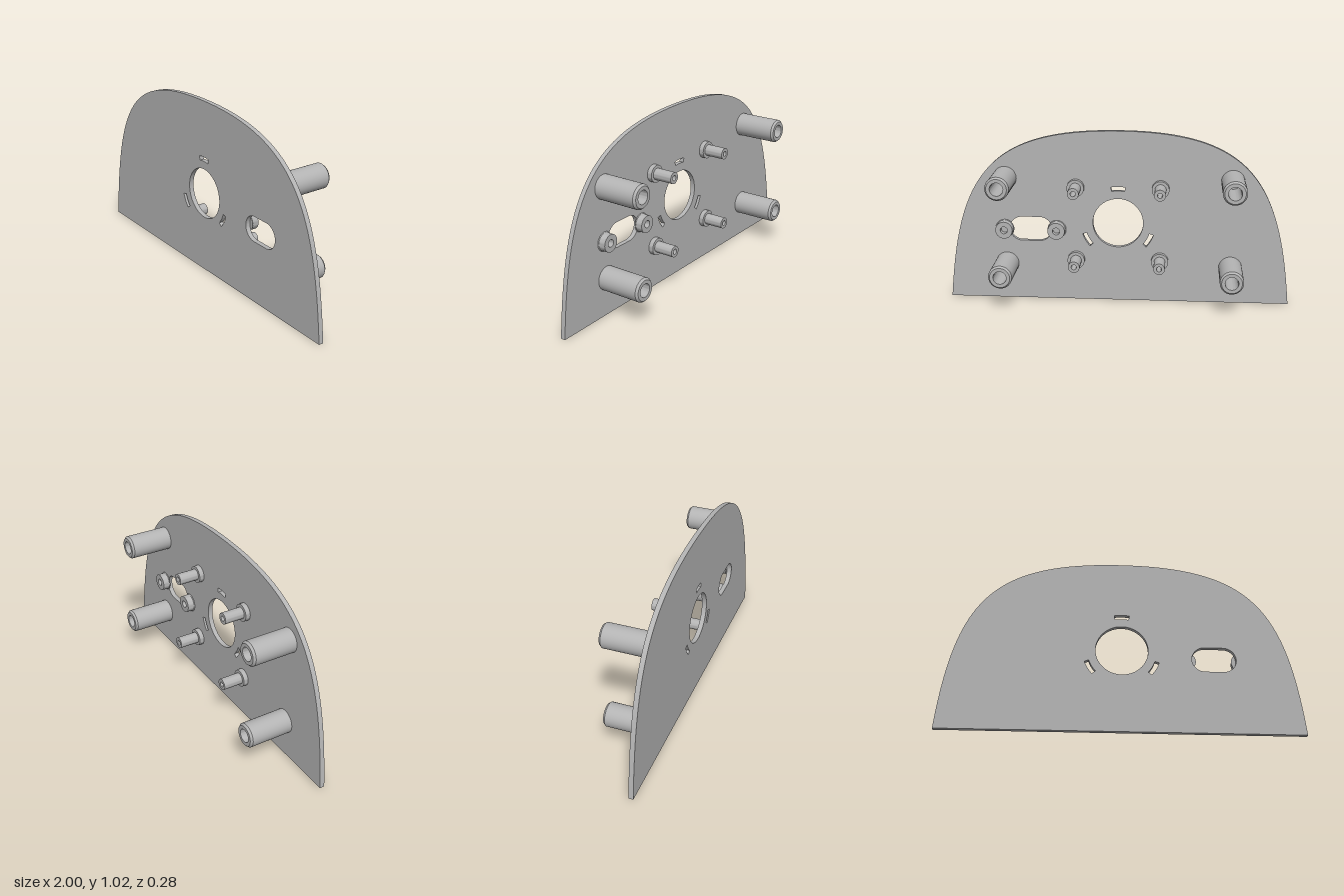
import * as THREE from 'three';
import { toCreasedNormals } from 'three/addons/utils/BufferGeometryUtils.js';

const BACK = 0.115, FRONT = 0.142;

// Domed plate outline with its bore, three arc slots and one oblong slot
function plateGeometry() {
  const s = new THREE.Shape();
  s.moveTo(-1, 0);
  s.lineTo(1, 0);
  s.bezierCurveTo(0.93, 0.75, 0.75, 1.02, 0, 1.02);
  s.bezierCurveTo(-0.75, 1.02, -0.93, 0.75, -1, 0);

  const cy = 0.477;
  const bore = new THREE.Path();
  bore.absarc(0, cy, 0.146, 0, Math.PI * 2, true);
  s.holes.push(bore);

  for (let i = 0; i < 3; i++) {
    const a = Math.PI / 2 + (i * Math.PI * 2) / 3, h = 0.195;
    const slot = new THREE.Path();
    slot.absarc(0, cy, 0.218, a - h, a + h, false);
    slot.absarc(0, cy, 0.193, a + h, a - h, true);
    slot.closePath();
    s.holes.push(slot);
  }

  const oblong = new THREE.Path(), r = 0.0725, y = 0.432;
  oblong.absarc(0.562, y, r, -Math.PI / 2, Math.PI / 2, false);
  oblong.absarc(0.46, y, r, Math.PI / 2, Math.PI * 1.5, false);
  oblong.closePath();
  s.holes.push(oblong);

  const g = new THREE.ExtrudeGeometry(s, { depth: FRONT - BACK, bevelEnabled: false, curveSegments: 40 });
  g.translate(0, 0, BACK);
  return toCreasedNormals(g, 0.5);
}

// Turned part: profile of [radius, distance behind the plate], pointing to -z
function turned(profile) {
  const g = new THREE.LatheGeometry(profile.map(([r, d]) => new THREE.Vector2(r, d)), 40);
  g.rotateX(-Math.PI / 2);
  return toCreasedNormals(g, 0.5);
}

export function createModel() {
  const model = new THREE.Group();
  model.name = 'mountingPlate';
  const grey = new THREE.MeshStandardMaterial({ color: 0xb4b4b4 });
  grey.name = 'grey';

  const add = (name, geometry, x = 0, y = 0, z = 0) => {
    const m = new THREE.Mesh(geometry, grey);
    m.name = name;
    m.position.set(x, y, z);
    model.add(m);
  };

  add('plate', plateGeometry());

  // Chamfered hollow posts, stepped standoffs, and low flared bosses
  const post = turned([[0, 0], [0.068, 0], [0.068, 0.245], [0.058, 0.257], [0.038, 0.257], [0.038, 0.02], [0, 0.02]]);
  const standoff = turned([[0, 0], [0.05, 0], [0.05, 0.028], [0.033, 0.028], [0.033, 0.145],
    [0.015, 0.145], [0.015, 0.02], [0, 0.02]]);
  const boss = turned([[0, 0], [0.055, 0], [0.051, 0.004], [0.05, 0.008], [0.05, 0.043],
    [0.021, 0.043], [0.021, 0.01], [0, 0.01]]);

  for (const side of [-1, 1]) {
    for (const y of [0.216, 0.736]) add('post', post, side * 0.656, y, BACK);
    for (const y of [0.25, 0.687]) add('standoff', standoff, side * 0.245, y, BACK);
    add('slotBoss', boss, 0.511 + side * 0.153, 0.431, BACK);
  }
  return model;
}
